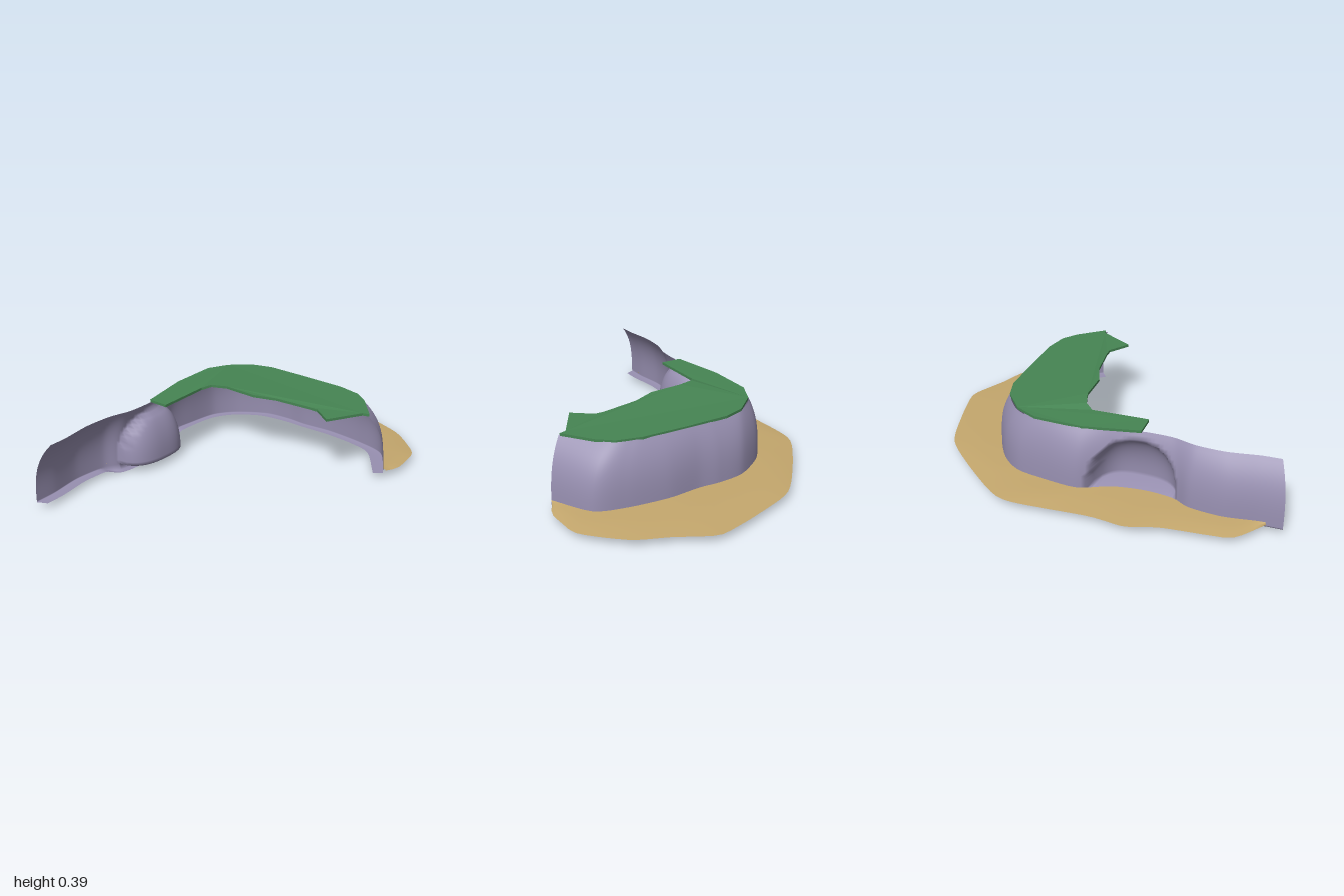
import * as THREE from 'three';

const rockMat = new THREE.MeshStandardMaterial({ color: 0x978fb0, side: THREE.DoubleSide });
rockMat.name = 'lavender rock';
const grassMat = new THREE.MeshStandardMaterial({ color: 0x468553, side: THREE.DoubleSide });
grassMat.name = 'grass green';
const sandMat = new THREE.MeshStandardMaterial({ color: 0xc4a76d, side: THREE.DoubleSide });
sandMat.name = 'sand';

// Plan curves, as [x, z]
const curve = (pts) => new THREE.CatmullRomCurve3(pts.map(([x, z]) => new THREE.Vector3(x, 0, z)), false, 'catmullrom', 0.4);

const cliffFoot = curve([
  [-1, -0.49], [-0.88, -0.495], [-0.71, -0.52], [-0.54, -0.505], [-0.45, -0.46], [-0.3, -0.445],
  [-0.13, -0.47], [0.03, -0.54], [0.2, -0.53], [0.38, -0.5], [0.5, -0.41], [0.6, -0.25],
  [0.62, -0.1], [0.615, 0.02], [0.63, 0.2], [0.61, 0.42], [0.56, 0.58], [0.37, 0.705]]);
const cliffRim = curve([
  [-0.95, -0.395], [-0.85, -0.4], [-0.69, -0.425], [-0.54, -0.42], [-0.42, -0.39], [-0.27, -0.39],
  [-0.12, -0.425], [0.03, -0.46], [0.18, -0.468], [0.31, -0.455], [0.42, -0.4], [0.51, -0.28],
  [0.545, -0.1], [0.55, 0.02], [0.55, 0.2], [0.54, 0.34], [0.5, 0.46], [0.31, 0.625]]);
const beachEdge = curve([
  [-0.92, -0.49], [-0.8, -0.635], [-0.68, -0.66], [-0.45, -0.685], [-0.29, -0.735], [-0.1, -0.72],
  [0.29, -0.745], [0.43, -0.705], [0.68, -0.51], [0.85, -0.34], [0.94, -0.1], [0.985, 0.06],
  [1, 0.17], [0.91, 0.36], [0.84, 0.53], [0.68, 0.71], [0.57, 0.737], [0.46, 0.743], [0.39, 0.71]]);

// Open surface through rows of points
function sheet(rows, cols, at) {
  const pos = [], idx = [];
  for (let r = 0; r < rows; r++) {
    for (let c = 0; c <= cols; c++) pos.push(...at(r, c / cols).toArray());
  }
  const w = cols + 1;
  for (let r = 0; r < rows - 1; r++) {
    for (let c = 0; c < cols; c++) {
      const a = r * w + c, b = a + 1, d = a + w, e = d + 1;
      idx.push(a, d, b, b, d, e);
    }
  }
  const geo = new THREE.BufferGeometry();
  geo.setAttribute('position', new THREE.Float32BufferAttribute(pos, 3));
  geo.setIndex(idx);
  geo.computeVertexNormals();
  return geo;
}

// Cliff: leans inward near the rim, with a hollow pressed into the back
function cliffGeometry() {
  const heights = [0.03, 0.03, 0.036, 0.042];
  for (let i = 1; i <= 16; i++) heights.push(0.042 + (0.318 * i) / 16);
  return sheet(heights.length, 136, (r, t) => {
    let y = heights[r];
    const v = (y - 0.03) / 0.33;
    // the first row tucks under the foot
    const lean = r === 0 ? 0.55 : 0.1 * v + 0.9 * v ** 3.2;
    const p = cliffFoot.getPoint(t).lerp(cliffRim.getPoint(t), lean);
    if (r < 2) {
      const inDip = THREE.MathUtils.smoothstep(p.x, -0.57, -0.47) * (1 - THREE.MathUtils.smoothstep(p.x, -0.01, 0.1));
      if (p.z < 0) y -= 0.03 * inDip;
    } else if (r > 2 && p.z < -0.3) {
      const q = Math.abs((p.x + 0.24) / 0.22) ** 2.6 + Math.max(0, (y - 0.03) / 0.275) ** 2.6;
      if (q < 1) p.z = THREE.MathUtils.lerp(p.z, -0.31, Math.sqrt(1 - q));
    }
    p.y = y;
    return p;
  });
}

// Beach: thin ring sloping down away from the cliff foot
function beachGeometry() {
  return sheet(4, 72, (r, t) => {
    const k = r / 3;
    const p = beachEdge.getPointAt(t).lerp(cliffFoot.getPointAt(0.03 + 0.97 * t), k);
    p.y = 0.038 + 0.016 * Math.sqrt(k);
    return p;
  });
}

// Grass: flat slab with a slight crown
function grassGeometry() {
  const outline = [
    [-0.26, -0.4], [-0.12, -0.43], [0.03, -0.462], [0.29, -0.462], [0.41, -0.405], [0.51, -0.29],
    [0.545, -0.18], [0.55, 0.05], [0.548, 0.3], [0.52, 0.43], [0.46, 0.51], [0.32, 0.625],
    [0.31, 0.59], [0.125, 0.485], [0.2, 0.38], [0.2, 0.33], [0.17, 0.13], [0.12, 0.01],
    [0.115, -0.17], [0.085, -0.26], [0.04, -0.295], [-0.26, -0.285]];
  const shape = new THREE.Shape(outline.map(([x, z]) => new THREE.Vector2(x, -z)));
  const geo = new THREE.ExtrudeGeometry(shape, { depth: 0.014, bevelEnabled: false });
  geo.rotateX(-Math.PI / 2).translate(0, 0.356, 0);
  const p = geo.attributes.position;
  for (let i = 0; i < p.count; i++) {
    const d = Math.hypot(p.getX(i) - 0.13, p.getZ(i) + 0.15);
    if (p.getX(i) > 0.08) p.setY(i, p.getY(i) + 0.018 * Math.max(0, 1 - d / 0.45));
  }
  geo.computeVertexNormals();
  return geo;
}

export function createModel() {
  const group = new THREE.Group();
  group.name = 'coastalCliff';
  const add = (name, geo, mat) => {
    const mesh = new THREE.Mesh(geo, mat);
    mesh.name = name;
    group.add(mesh);
  };
  add('cliffWall', cliffGeometry(), rockMat);
  add('beach', beachGeometry(), sandMat);
  add('grassTop', grassGeometry(), grassMat);
  return group;
}
